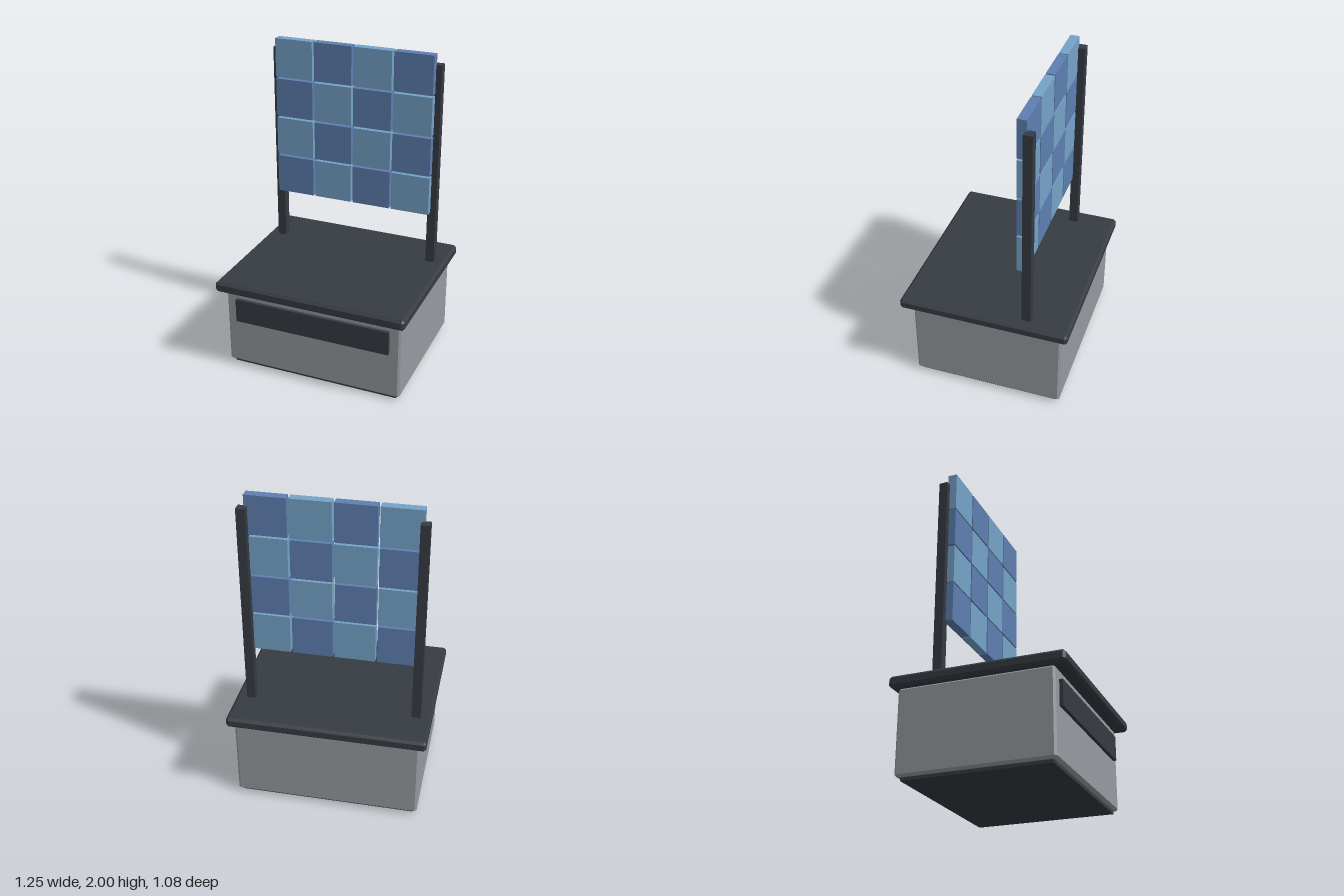
import * as THREE from 'three';
import { ConvexGeometry } from 'three/addons/geometries/ConvexGeometry.js';

const mat = (name, color) => {
  const m = new THREE.MeshStandardMaterial({ color });
  m.name = name;
  return m;
};

// Box with every edge cut at 45 degrees
function chamferBox(w, h, d, c) {
  const pts = [], s = [-1, 1];
  for (const x of s) for (const y of s) for (const z of s) {
    const [X, Y, Z] = [x * w / 2, y * h / 2, z * d / 2];
    pts.push(
      new THREE.Vector3(X, Y - y * c, Z - z * c),
      new THREE.Vector3(X - x * c, Y, Z - z * c),
      new THREE.Vector3(X - x * c, Y - y * c, Z));
  }
  return new ConvexGeometry(pts);
}

export function createModel() {
  const group = new THREE.Group();
  const dark = mat('charcoal', 0x363b42);
  const grey = mat('cabinet grey', 0x97999f);
  const light = mat('light blue', 0x76a3c9);
  const blue = mat('deep blue', 0x5e80b1);

  const add = (name, geometry, material, x, y, z) => {
    const mesh = new THREE.Mesh(geometry, material);
    mesh.name = name;
    mesh.position.set(x, y, z);
    group.add(mesh);
  };

  // Cabinet: plinth, body, worktop and front panel
  add('plinth', new THREE.BoxGeometry(1.11, 0.06, 0.905), dark, 0, 0.03, -0.013);
  add('cabinet', chamferBox(1.165, 0.53, 0.96, 0.013), grey, 0, 0.285, -0.015);
  add('worktop', chamferBox(1.25, 0.07, 1.08, 0.016), dark, 0, 0.582, 0);
  add('frontPanel', new THREE.BoxGeometry(1.026, 0.157, 0.04), dark, 0, 0.408, 0.466);

  // Two posts standing on the worktop
  const post = new THREE.BoxGeometry(0.056, 1.34, 0.056);
  for (const side of [-1, 1]) add(side < 0 ? 'rightPost' : 'leftPost', post, dark, side * 0.528, 1.26, -0.264);

  // Checkered 4 x 4 board of tiles, rows counted from the top
  const tile = new THREE.BoxGeometry(0.25, 0.249, 0.057);
  for (let r = 0; r < 4; r++) for (let c = 0; c < 4; c++) {
    add(`tile${r + 1}_${c + 1}`, tile, (r + c) % 2 ? blue : light,
      (c - 1.5) * 0.263, 1.8755 - r * 0.261, -0.219);
  }
  return group;
}
